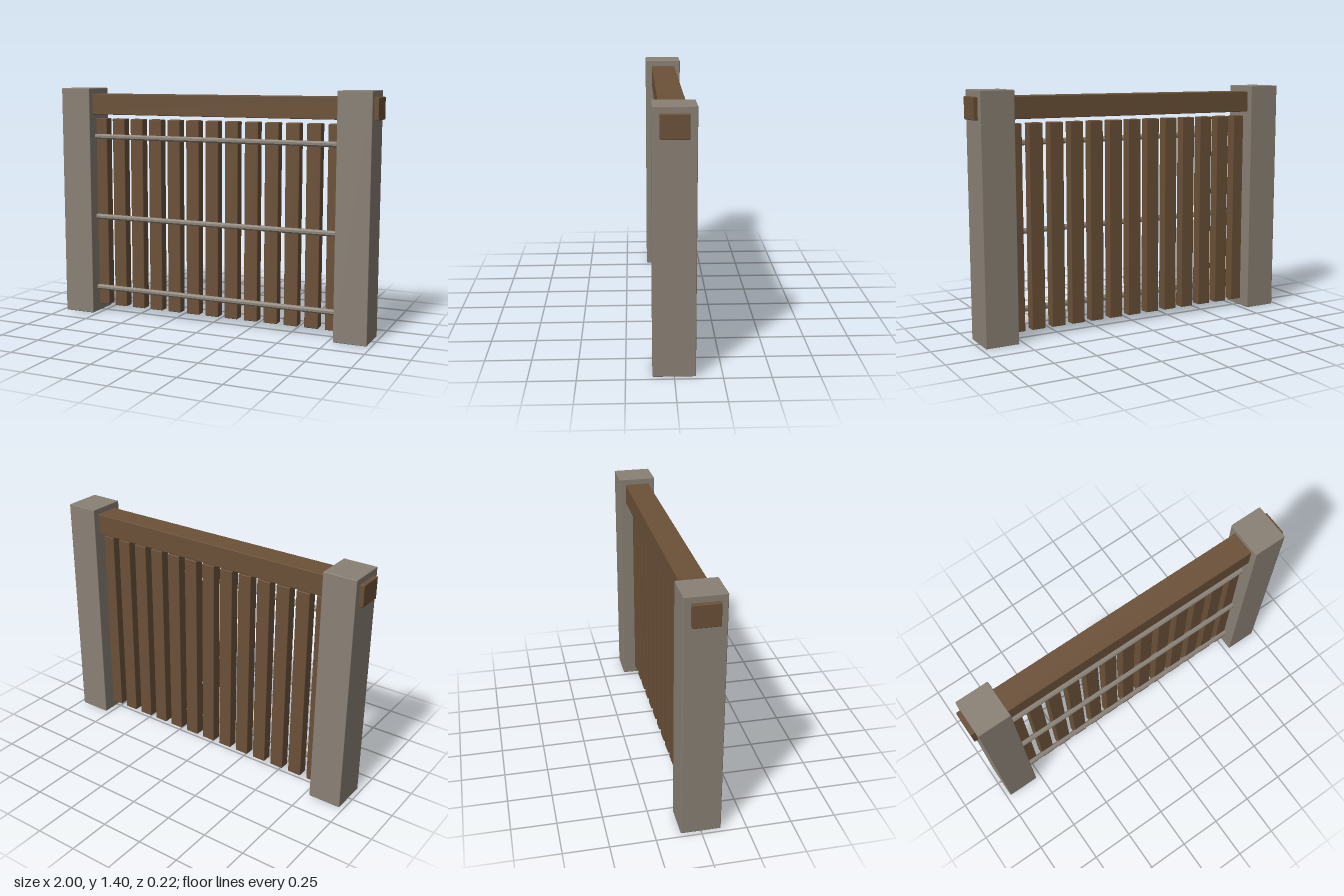
import * as THREE from 'three';
import { RoundedBoxGeometry } from 'three/addons/geometries/RoundedBoxGeometry.js';

export function createModel() {
  const group = new THREE.Group();
  const stone = new THREE.MeshStandardMaterial({ color: 0x8a8175 });
  stone.name = 'stone grey';
  const wood = new THREE.MeshStandardMaterial({ color: 0x6b5138 });
  wood.name = 'brown wood';
  const metal = new THREE.MeshStandardMaterial({ color: 0x8a8378, flatShading: true });
  metal.name = 'grey metal';

  // Box with slightly softened edges, standing on height y0
  function block(name, material, w, h, d, x, y0, z = 0) {
    const mesh = new THREE.Mesh(new RoundedBoxGeometry(w, h, d, 1, 0.004), material);
    mesh.name = name;
    mesh.position.set(x, y0 + h / 2, z);
    group.add(mesh);
  }

  // Stone posts
  for (const [side, s] of [['left', 1], ['right', -1]]) {
    block(side + 'Post', stone, 0.195, 1.4, 0.222, s * 0.8775, 0);
  }

  // Top beam, passing through both posts
  block('topBeam', wood, 2, 0.124, 0.146, 0, 1.241);

  // Vertical slats
  for (let i = -6; i <= 6; i++) {
    block('slat' + (i + 7), wood, 0.083, 1.172, 0.062, i * 0.125, 0.043);
  }

  // Horizontal bars across the front of the slats
  const barGeometry = new THREE.CylinderGeometry(0.0165, 0.0165, 1.57, 8);
  barGeometry.rotateY(Math.PI / 8);
  barGeometry.rotateZ(Math.PI / 2);
  [0.155, 0.605, 1.104].forEach((y, i) => {
    const bar = new THREE.Mesh(barGeometry, metal);
    bar.name = 'bar' + (i + 1);
    bar.position.set(0, y, 0.04);
    group.add(bar);
  });

  return group;
}
